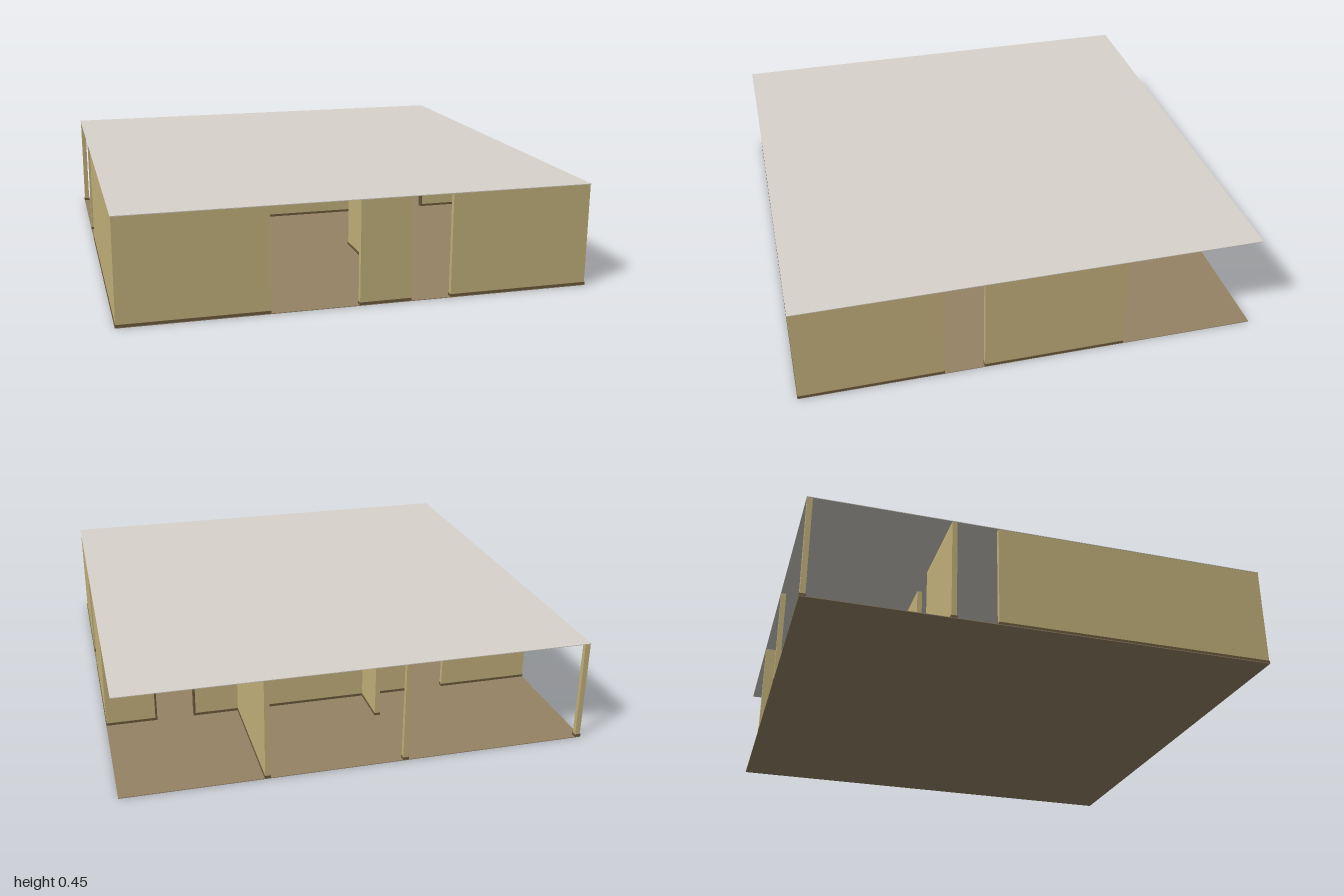
import * as THREE from 'three';

const H = 0.447;   // ceiling height
const T = 0.022;   // wall thickness
const S = 0.987;   // keeps the outer walls inside the slabs
const DOOR = 0.345;

const mat = (name, color) => {
  const m = new THREE.MeshStandardMaterial({ color });
  m.name = name;
  return m;
};

export function createModel() {
  const model = new THREE.Group();
  model.name = 'roomBlock';
  const wallMat = mat('tan wallpaper', 0xc4b27c);
  const trimMat = mat('brown trim', 0x6b5a3c);
  const floorMat = mat('carpet brown', 0x968366);
  const ceilingMat = mat('ceiling grey', 0xd8d4cc);
  const ventMat = mat('vent bronze', 0x8a7a5c);
  const slotMat = mat('vent slot dark', 0x4a4232);
  const plateMat = mat('plate white', 0xe8e6dc);

  // Box given by its two opposite corners
  const box = (name, material, x0, y0, z0, x1, y1, z1, parent = model) => {
    const mesh = new THREE.Mesh(new THREE.BoxGeometry(x1 - x0, y1 - y0, z1 - z0), material);
    mesh.position.set((x0 + x1) / 2, (y0 + y1) / 2, (z0 + z1) / 2);
    mesh.name = name;
    parent.add(mesh);
    return mesh;
  };

  // Floor and ceiling slabs
  box('floor', floorMat, -1, 0, -1, 1, 0.003, 1);
  box('ceiling', ceilingMat, -1, H, -1, 1, H + 0.003, 1);

  // Wall along one axis, with a skirting board at its foot
  const wall = (name, axis, at, from, to, bottom = 0.003) => {
    const group = new THREE.Group();
    group.name = name;
    const c = at * S, a = from * S, b = to * S;
    const slab = (label, material, half, y0, y1) => {
      if (axis === 'x') box(label, material, a - half, y0, c - half, b + half, y1, c + half, group);
      else box(label, material, c - half, y0, a - half, c + half, y1, b + half, group);
    };
    slab('wallPanel', wallMat, T / 2, bottom, H);
    if (bottom < 0.1) slab('skirting', trimMat, T / 2 + 0.002, 0.003, 0.014);
    model.add(group);
  };

  // Walls that run along x: [name, z, from x, to x]
  for (const [name, z, a, b] of [
    ['frontWallRight', 1, -1, -0.4],
    ['frontWallMiddle', 1, 0, 0.2],
    ['frontWallLeft', 1, 0.4, 1],
    ['innerFrontWall', 0.4, -1, -0.4],
    ['innerBackWallRight', -0.4, -1, -0.6],
    ['innerBackWallMiddle', -0.4, -0.4, 0.6],
    ['innerBackWallLeft', -0.4, 0.8, 1],
  ]) wall(name, 'x', z, a, b);
  wall('doorLintel', 'x', -0.4, 0.6, 0.8, DOOR);

  // Walls that run along z: [name, x, from z, to z]
  for (const [name, x, a, b] of [
    ['leftWallFront', 1, 0.4, 1],
    ['leftWallMiddle', 1, -0.4, 0.2],
    ['rightWall', -1, -0.2, 1],
    ['frontStub', -0.4, 0.8, 1],
    ['switchWall', 0.2, 0.2, 1],
    ['ventWall', 0.4, -1, -0.4],
    ['backStub', -0.2, -0.6, -0.4],
    ['backPost', -0.2, -1, -1],
    ['cornerPost', -1, -1, -1],
  ]) wall(name, 'z', x, a, b);

  // Door frame
  const z = -0.4 * S, d = T / 2 + 0.004;
  const x0 = 0.6 * S + T / 2, x1 = 0.8 * S - T / 2;
  box('doorJamb', trimMat, x0 - 0.003, 0.003, z - d, x0 + 0.005, DOOR, z + d);
  box('doorJamb', trimMat, x1 - 0.005, 0.003, z - d, x1 + 0.003, DOOR, z + d);
  box('doorHead', trimMat, x0 - 0.003, DOOR - 0.005, z - d, x1 + 0.003, DOOR + 0.003, z + d);

  // Air vent with slots, high on the wall of the back room
  const vx = 0.4 * S + T / 2;
  box('vent', ventMat, vx, 0.378, -0.83, vx + 0.004, 0.428, -0.73);
  for (let i = 0; i < 4; i++) {
    const y = 0.387 + i * 0.0095;
    box('ventSlot', slotMat, vx + 0.003, y, -0.822, vx + 0.005, y + 0.003, -0.738);
  }

  // Light switch and power outlet plates
  const sx = 0.2 * S + T / 2, oz = z + T / 2;
  box('lightSwitch', plateMat, sx, 0.327, 0.34, sx + 0.004, 0.345, 0.354);
  box('outlet', plateMat, -0.097, 0.046, oz, -0.083, 0.062, oz + 0.004);

  return model;
}
